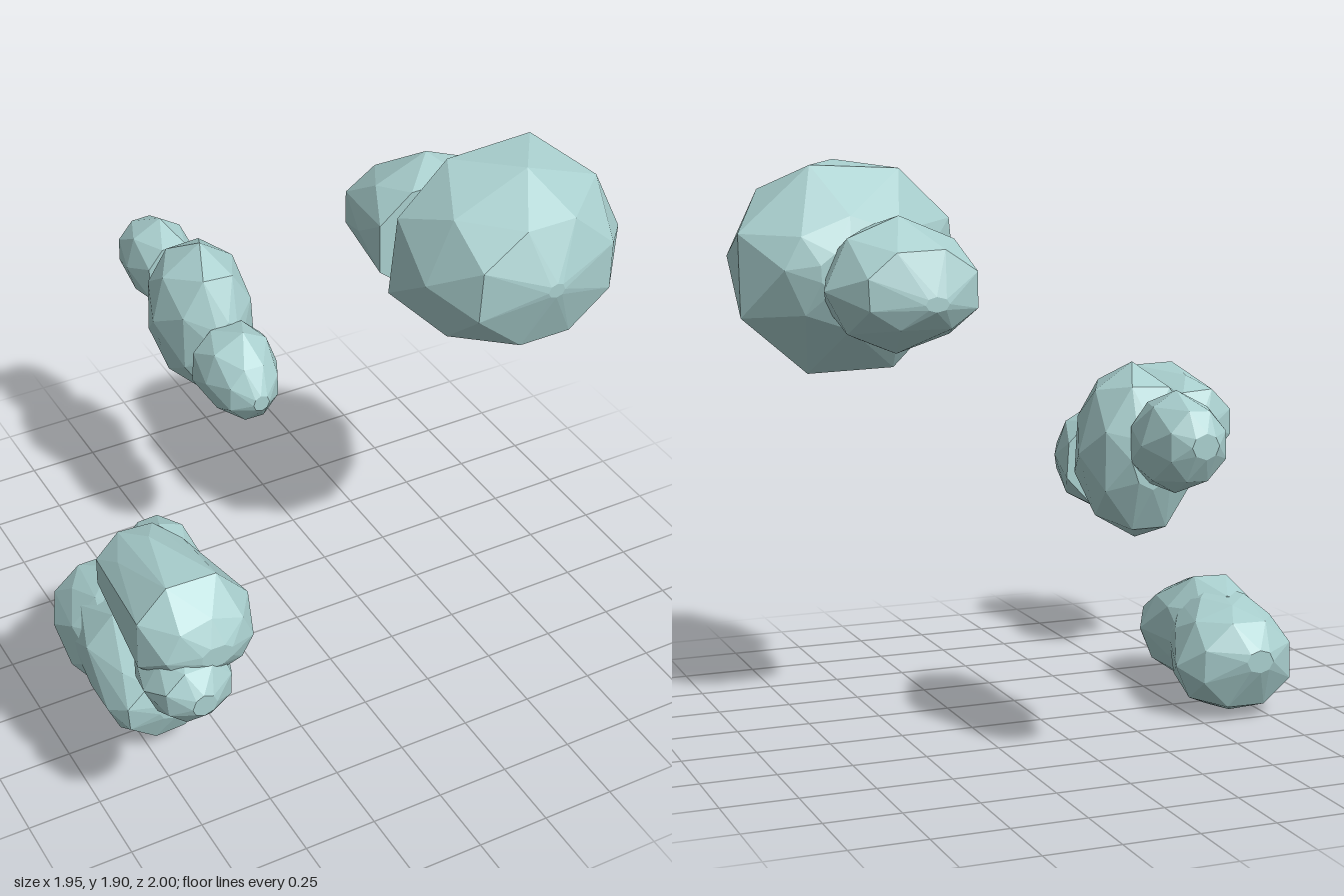
import * as THREE from 'three';
import { ConvexGeometry } from 'three/addons/geometries/ConvexGeometry.js';

const material = new THREE.MeshStandardMaterial({ color: 0xa9cfce, flatShading: true });
const SIDES = 8;

function seeded(seed) {
  let s = seed * 7919 + 17;
  return () => (s = (s * 16807) % 2147483647) / 2147483647;
}

// Faceted puff: hull around slightly irregular oval rings [z, left, right, bottom, top]
function puff(name, rings, seed) {
  const random = seeded(seed);
  const points = [];
  rings.forEach(([z, x0, x1, y0, y1], r) => {
    // every other ring is turned by half a step and widened to keep its extent
    const turned = r % 2;
    const grow = turned ? 1 / Math.cos(Math.PI / SIDES) : 1;
    for (let i = 0; i < SIDES; i++) {
      const a = ((i + turned / 2) / SIDES) * Math.PI * 2 + (random() - 0.5) * 0.16;
      const k = (grow * (0.98 + random() * 0.04)) / 2;
      points.push(new THREE.Vector3(
        (x0 + x1) / 2 + Math.cos(a) * k * (x1 - x0),
        (y0 + y1) / 2 + Math.sin(a) * k * (y1 - y0),
        z,
      ));
    }
  });
  const mesh = new THREE.Mesh(new ConvexGeometry(points), material);
  mesh.name = name;
  return mesh;
}

const clouds = {
  highCloud: {
    mainPuff: [
      [0.65, 0.53, 0.59, 1.58, 1.63], [0.57, 0.34, 0.82, 1.38, 1.79],
      [0.4, 0.24, 0.96, 1.25, 1.9], [0.2, 0.24, 0.97, 1.22, 1.89],
      [0.03, 0.42, 0.87, 1.37, 1.74], [-0.02, 0.62, 0.76, 1.5, 1.62],
    ],
    backPuff: [
      [-0.28, 0.42, 0.5, 1.45, 1.5], [-0.23, 0.3, 0.67, 1.39, 1.64],
      [-0.08, 0.27, 0.77, 1.3, 1.74], [0.06, 0.27, 0.72, 1.32, 1.7],
    ],
  },
  middleCloud: {
    mainPuff: [
      [-0.345, -0.14, -0.03, 0.94, 1.1], [-0.42, -0.22, 0.05, 0.79, 1.24],
      [-0.56, -0.27, 0.1, 0.74, 1.3], [-0.68, -0.23, 0.06, 0.8, 1.24],
      [-0.745, -0.15, 0, 0.93, 1.12],
    ],
    frontPuff: [
      [-0.085, -0.12, -0.06, 0.9, 0.96], [-0.14, -0.18, 0, 0.84, 1.04],
      [-0.24, -0.22, 0.05, 0.79, 1.12], [-0.35, -0.22, 0.05, 0.82, 1.09],
    ],
    backPuff: [
      [-1, -0.17, -0.08, 1.06, 1.14], [-0.96, -0.21, -0.03, 0.99, 1.2],
      [-0.85, -0.23, 0.02, 0.935, 1.25], [-0.73, -0.2, 0, 0.95, 1.2],
    ],
  },
  sideCloud: {
    mainPuff: [
      [0.39, -0.83, -0.74, 0.88, 0.94], [0.44, -0.93, -0.67, 0.79, 1.04],
      [0.55, -0.94, -0.64, 0.74, 1.08], [0.81, -0.97, -0.6, 0.73, 1.1],
      [0.91, -0.92, -0.63, 0.8, 1.02], [0.95, -0.82, -0.72, 0.87, 0.94],
    ],
    frontPuff: [
      [1, -0.88, -0.8, 0.74, 0.82], [0.95, -0.94, -0.73, 0.69, 0.88],
      [0.86, -0.975, -0.69, 0.645, 0.91], [0.74, -0.95, -0.71, 0.67, 0.88],
    ],
    backPuff: [
      [0.3, -0.74, -0.68, 0.87, 0.92], [0.34, -0.79, -0.63, 0.81, 0.97],
      [0.43, -0.82, -0.6, 0.775, 1.01], [0.52, -0.8, -0.62, 0.8, 0.98],
    ],
  },
  lowCloud: {
    frontPuff: [
      [0.43, -0.74, -0.64, 0.18, 0.26], [0.39, -0.83, -0.56, 0.09, 0.32],
      [0.3, -0.875, -0.51, 0.03, 0.37], [0.12, -0.86, -0.53, 0.04, 0.42],
      [-0.06, -0.85, -0.52, 0.03, 0.39],
    ],
    backPuff: [
      [0.12, -0.84, -0.54, 0.04, 0.4], [-0.03, -0.86, -0.49, 0.005, 0.39],
      [-0.16, -0.865, -0.435, 0.01, 0.385], [-0.26, -0.82, -0.5, 0.05, 0.34],
      [-0.33, -0.72, -0.62, 0.18, 0.26],
    ],
  },
};

export function createModel() {
  const model = new THREE.Group();
  model.name = 'clouds';
  let seed = 1;
  for (const [name, puffs] of Object.entries(clouds)) {
    const cloud = new THREE.Group();
    cloud.name = name;
    for (const [part, rings] of Object.entries(puffs)) {
      cloud.add(puff(part, rings, seed++));
    }
    model.add(cloud);
  }
  return model;
}
